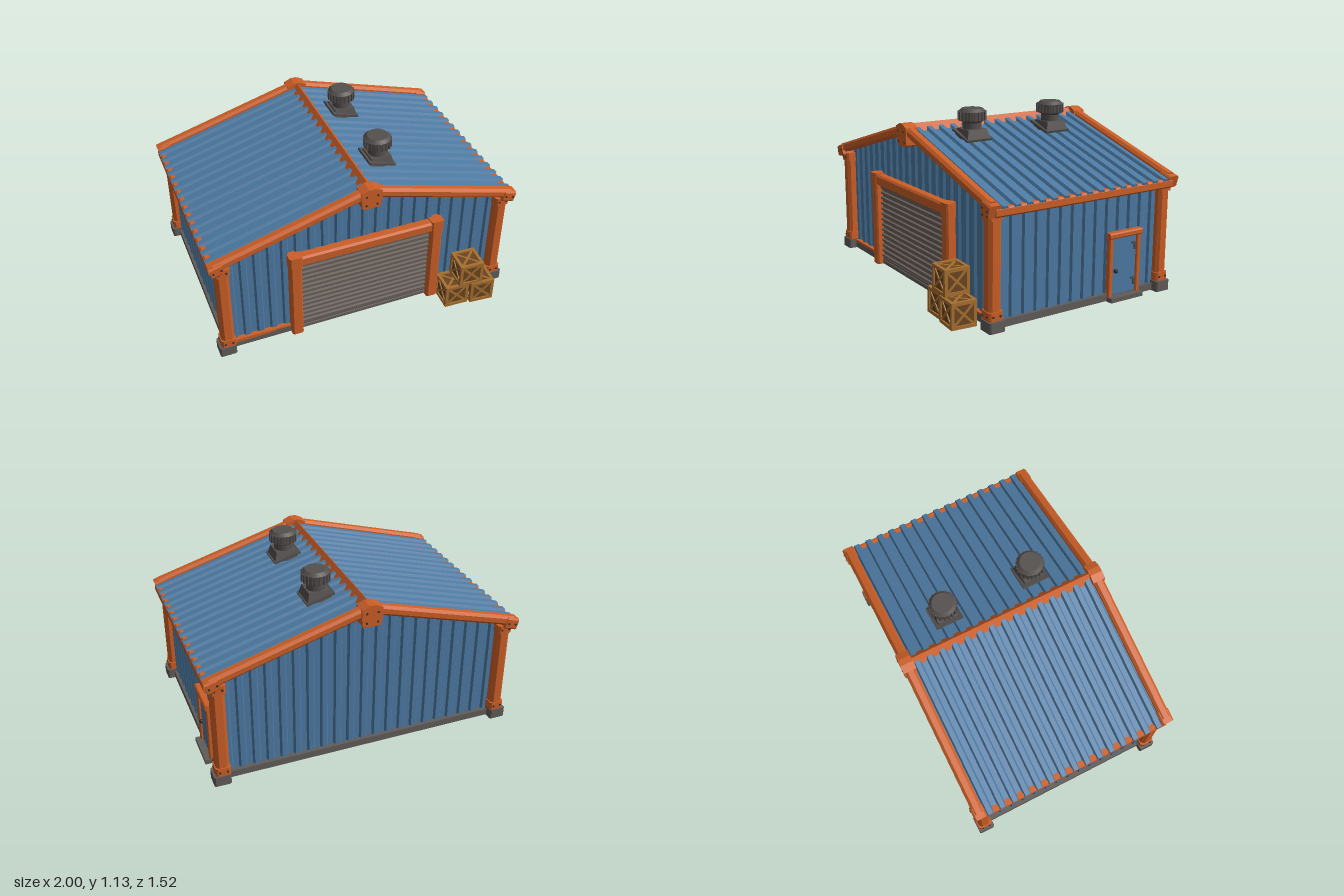
import * as THREE from 'three';

const mat = (name, color) => Object.assign(new THREE.MeshStandardMaterial({ color }), { name });

export function createModel() {
  const blue = mat('blue sheet metal', 0x4d7aa3);
  const orange = mat('orange steel', 0xcc5f27);
  const grey = mat('grey concrete', 0x605c5a);
  const shutterGrey = mat('shutter grey', 0x695f5a);
  const ventGrey = mat('vent grey', 0x54504e);
  const dark = mat('dark bolts', 0x33302f);
  const wood = mat('light wood', 0xa8702f);
  const panel = mat('dark wood', 0x6c4522);

  const SLOPE = 0.29, TILT = Math.atan(SLOPE);
  const root = new THREE.Group();
  root.name = 'warehouse';
  const building = new THREE.Group();
  building.name = 'building';
  building.position.z = -0.072;
  root.add(building);

  const add = (parent, name, geo, material, x = 0, y = 0, z = 0) => {
    const m = new THREE.Mesh(geo, material);
    m.name = name;
    m.position.set(x, y, z);
    parent.add(m);
    return m;
  };
  const box = (parent, name, material, w, h, d, x, y, z) =>
    add(parent, name, new THREE.BoxGeometry(w, h, d), material, x, y, z);
  const polygon = (pts) => new THREE.Shape(pts.map(([x, y]) => new THREE.Vector2(x, y)));
  const extrude = (pts, depth) =>
    new THREE.ExtrudeGeometry(polygon(pts), { depth, bevelEnabled: false });

  // Bar with chamfered long edges, centred, running along x, y or z
  const bar = (w, h, len, axis = 'z', c = 0.016) => {
    const a = w / 2, b = h / 2;
    const g = extrude([[-a + c, -b], [a - c, -b], [a, -b + c], [a, b - c],
      [a - c, b], [-a + c, b], [-a, b - c], [-a, -b + c]], len).translate(0, 0, -len / 2);
    if (axis === 'x') g.rotateY(Math.PI / 2);
    if (axis === 'y') g.rotateX(Math.PI / 2);
    return g;
  };

  // Trapezoid sheet: ribs across x, rising to +y, extruded along z
  const corrugated = (width, length, n, rise, back) => {
    const p = width / n, pts = [[-width / 2, -back]];
    for (let i = 0; i < n; i++) {
      const x = -width / 2 + i * p;
      pts.push([x, 0], [x + p * 0.2, 0], [x + p * 0.32, rise], [x + p * 0.68, rise], [x + p * 0.8, 0]);
    }
    pts.push([width / 2, 0], [width / 2, -back]);
    return extrude(pts.reverse(), length);
  };

  const bolt = (parent, x, y, z, axis) => {
    const g = new THREE.CylinderGeometry(0.007, 0.007, 0.01, 8);
    if (axis === 'z') g.rotateX(Math.PI / 2); else g.rotateZ(Math.PI / 2);
    add(parent, 'bolt', g, dark, x, y, z);
  };

  // Foundation
  box(building, 'foundation', grey, 1.87, 0.044, 1.24, 0, 0.026, 0);

  // Gable walls: top edge follows the roof pitch
  for (const s of [1, -1]) {
    const g = corrugated(1.82, 1, 21, 0.014, 0.02).rotateX(-Math.PI / 2);
    const pos = g.attributes.position;
    for (let i = 0; i < pos.count; i++)
      pos.setY(i, pos.getY(i) > 0.5 ? 0.985 - SLOPE * Math.abs(pos.getX(i)) : 0.04);
    if (s > 0) g.rotateY(Math.PI);
    add(building, s > 0 ? 'frontWall' : 'backWall', g, blue, 0, 0, s * 0.588);
  }

  for (const s of [1, -1]) {
    // Side walls
    const wall = corrugated(1.2, 0.67, 14, 0.014, 0.02)
      .rotateX(-Math.PI / 2).rotateY(-s * Math.PI / 2);
    add(building, s > 0 ? 'leftWall' : 'rightWall', wall, blue, s * 0.906, 0.04, 0);

    // Roof slopes and eave beams
    const roof = corrugated(1.25, 1.036, 15, 0.016, 0.018)
      .rotateY(Math.PI / 2).rotateZ(-TILT);
    if (s < 0) roof.rotateY(Math.PI);
    add(building, 'roofSlope', roof, blue, 0, 0.998, 0);
    add(building, 'eaveBeam', bar(0.06, 0.056, 1.28, 'z', 0.01), orange, s * 0.967, 0.692, 0);
  }
  // Ridge strip
  add(building, 'ridgeStrip', extrude([[-0.05, 0.975], [0.05, 0.975], [0, 1.033]], 1.28),
    orange, 0, 0, -0.64);

  for (const sz of [1, -1]) {
    for (const sx of [1, -1]) {
      // Corner posts with pedestals and bolted brackets
      const corner = new THREE.Group();
      corner.name = 'cornerPost';
      corner.position.set(sx * 0.92, 0, sz * 0.617);
      building.add(corner);
      add(corner, 'pedestal', bar(0.105, 0.105, 0.065, 'y', 0.008), grey, sx * 0.008, 0.0325, 0);
      add(corner, 'post', bar(0.082, 0.082, 0.62, 'y', 0.018), orange, 0, 0.375, 0);
      for (const [y, h] of [[0.092, 0.052], [0.668, 0.056]]) {
        add(corner, 'bracket', bar(0.094, 0.094, h, 'y', 0.012), orange, 0, y, 0);
        for (const o of [-0.024, 0.024]) {
          bolt(corner, o, y, sz * 0.046, 'z');
          bolt(corner, sx * 0.046, y, o, 'x');
        }
      }
      // Sloping rafters and corner caps
      const rafter = add(building, 'rafter', bar(0.066, 0.062, 1.0, 'x'), orange,
        sx * 0.482, 0.862, sz * 0.645);
      rafter.rotation.z = -sx * TILT;
      const cap = add(building, 'cornerCap', bar(0.078, 0.075, 0.082, 'x', 0.01), orange,
        sx * 0.951, 0.711, sz * 0.645);
      cap.rotation.z = -sx * TILT;
      for (const o of [-0.024, 0.024]) bolt(building, sx * 0.951 + o, 0.711 - sx * o * SLOPE, sz * 0.683, 'z');
    }
    // Ridge caps
    add(building, 'ridgeCap', extrude([[-0.066, 0.945], [0, 0.97], [0.066, 0.945],
      [0.066, 1.016], [0.02, 1.037], [-0.02, 1.037], [-0.066, 1.016]], 0.082),
      orange, 0, 0, sz * 0.646 - 0.041);
    add(building, 'ridgeBracket', bar(0.12, 0.09, 0.075, 'z', 0.01), orange, 0, 0.943, sz * 0.645);
    for (const x of [-0.035, 0.035]) for (const y of [0.925, 0.99])
      bolt(building, x, y, sz * (y < 0.95 ? 0.681 : 0.685), 'z');
  }

  // Roller shutter with frame
  const shutter = corrugated(0.55, 0.88, 15, 0.014, 0.02).applyMatrix4(new THREE.Matrix4().makeBasis(
    new THREE.Vector3(0, 1, 0), new THREE.Vector3(0, 0, 1), new THREE.Vector3(1, 0, 0)));
  add(building, 'rollerShutter', shutter, shutterGrey, -0.44, 0.283, 0.612);
  for (const s of [1, -1]) {
    add(building, 'shutterJamb', bar(0.074, 0.075, 0.57, 'y', 0.01), orange, s * 0.469, 0.288, 0.622);
    add(building, 'shutterCorner', bar(0.084, 0.084, 0.085, 'y', 0.01), orange, s * 0.469, 0.595, 0.622);
    box(building, 'frontSill', orange, 0.37, 0.024, 0.03, s * 0.69, 0.048, 0.605);
  }
  add(building, 'shutterHeader', bar(0.07, 0.072, 0.9, 'x', 0.012), orange, 0, 0.593, 0.622);

  // Side door
  const door = new THREE.Group();
  door.name = 'sideDoor';
  door.position.set(0.925, 0, -0.323);
  building.add(door);
  box(door, 'doorLeaf', blue, 0.02, 0.37, 0.2, 0, 0.21, 0);
  box(door, 'doorStep', grey, 0.07, 0.028, 0.25, 0.02, 0.016, 0);
  for (const s of [1, -1])
    add(door, 'doorJamb', bar(0.04, 0.03, 0.37, 'y', 0.005), orange, 0.005, 0.215, s * 0.108);
  add(door, 'doorHeader', bar(0.05, 0.036, 0.254, 'z', 0.007), orange, 0.008, 0.412, 0);
  for (const y of [0.1, 0.325]) {
    box(door, 'hinge', ventGrey, 0.012, 0.05, 0.014, 0.014, y, -0.082);
    box(door, 'hingeArm', ventGrey, 0.01, 0.012, 0.035, 0.014, y + 0.02, -0.075);
  }
  add(door, 'doorKnob', new THREE.SphereGeometry(0.014, 12, 8), dark, 0.02, 0.187, 0.068);

  // Roof ventilators
  for (const z of [0.297, -0.298]) {
    const vent = new THREE.Group();
    vent.name = 'roofVent';
    vent.position.set(0.2, 0, z);
    building.add(vent);
    const R2 = Math.SQRT2;
    const base = new THREE.CylinderGeometry(0.066 * R2, 0.082 * R2, 0.06, 4)
      .rotateY(Math.PI / 4).toNonIndexed();
    base.computeVertexNormals();
    add(vent, 'ventBase', base, ventGrey, 0, 0.972, 0);
    const flange = box(vent, 'ventFlange', ventGrey, 0.185, 0.014, 0.18, 0, 0.964, 0);
    flange.rotation.z = -TILT;
    add(vent, 'ventNeck', new THREE.CylinderGeometry(0.058, 0.058, 0.08, 20), ventGrey, 0, 1.03, 0);
    const lower = new THREE.CylinderGeometry(0.08, 0.055, 0.02, 20);
    add(vent, 'ventCollar', lower, ventGrey, 0, 1.048, 0);
    add(vent, 'ventDrum', new THREE.CylinderGeometry(0.082, 0.08, 0.056, 20), ventGrey, 0, 1.083, 0);
    add(vent, 'ventTop', new THREE.CylinderGeometry(0.066, 0.086, 0.02, 20), ventGrey, 0, 1.118, 0);
    for (let i = 0; i < 20; i++) {
      const a = (i / 20) * Math.PI * 2;
      const rib = box(vent, 'ventRib', ventGrey, 0.012, 0.055, 0.013, Math.cos(a) * 0.083, 1.083, Math.sin(a) * 0.083);
      rib.rotation.y = -a;
    }
  }

  // Wooden crates with framed, cross-braced faces
  const crate = (x, y, z, turn) => {
    const g = new THREE.Group();
    g.name = 'crate';
    g.position.set(x, y, z);
    g.rotation.y = turn;
    root.add(g);
    box(g, 'cratePanel', panel, 0.142, 0.142, 0.142, 0, 0, 0);
    for (const [rx, ry] of [[0, 0], [0, 1], [0, 2], [0, 3], [1, 0], [-1, 0]]) {
      const face = new THREE.Group();
      face.name = 'crateFace';
      face.rotation.set(rx * Math.PI / 2, ry * Math.PI / 2, 0);
      g.add(face);
      for (const s of [1, -1]) {
        box(face, 'crateRail', wood, 0.16, 0.02, 0.012, 0, s * 0.07, 0.074);
        box(face, 'crateStile', wood, 0.02, 0.16, 0.012, s * 0.07, 0, 0.074);
        box(face, 'crateBrace', wood, 0.175, 0.014, 0.008, 0, 0, 0.0725).rotation.z = s * Math.PI / 4;
      }
    }
  };
  crate(0.583, 0.086, 0.645, -0.04);
  crate(0.757, 0.086, 0.668, -0.08);
  crate(0.667, 0.252, 0.66, -0.05);

  return root;
}
